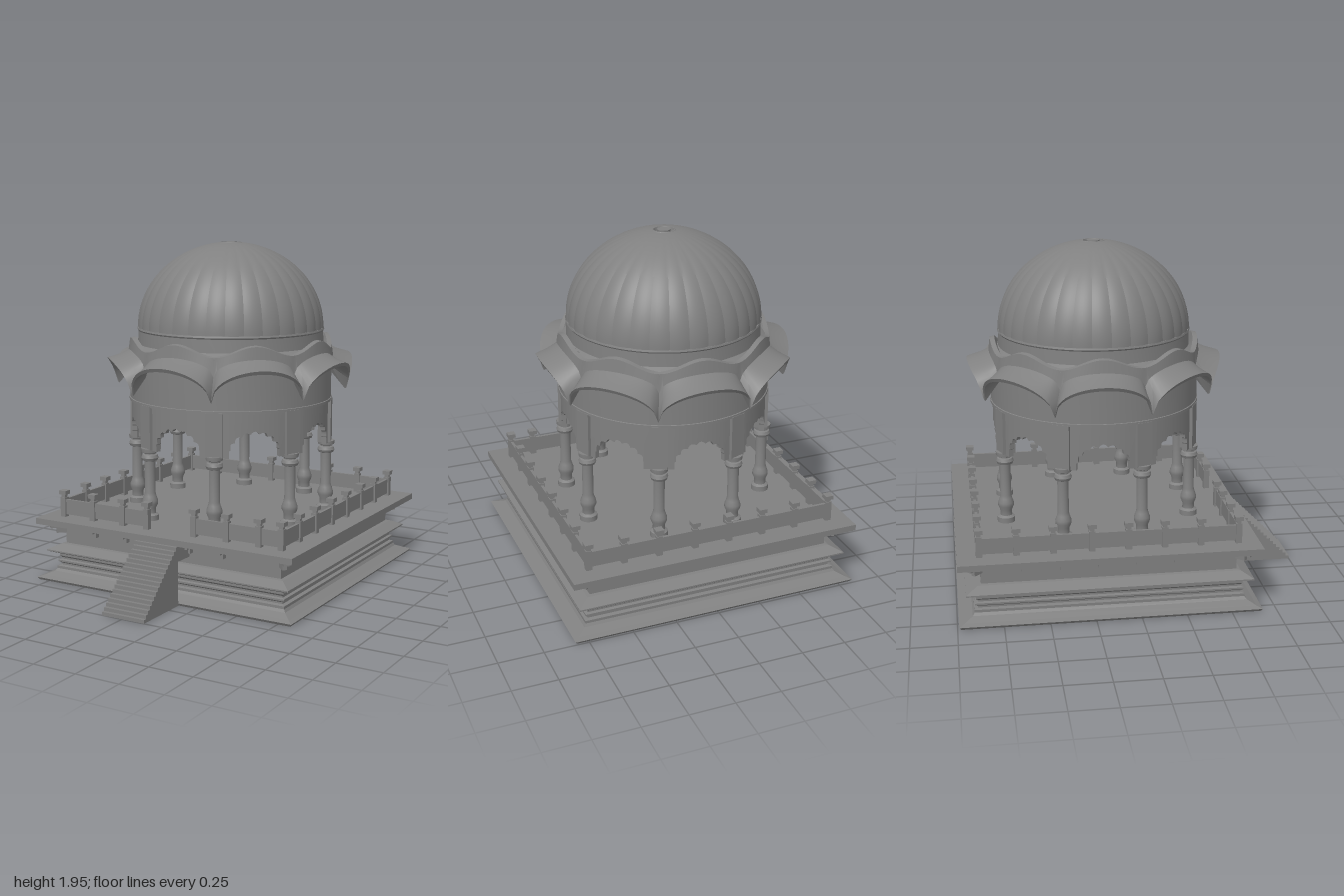
import * as THREE from 'three';
import { toCreasedNormals } from 'three/addons/utils/BufferGeometryUtils.js';

const STONE = 0x808080;
const smooth = new THREE.MeshStandardMaterial({ color: STONE, side: THREE.DoubleSide });
const flat = new THREE.MeshStandardMaterial({ color: STONE, side: THREE.DoubleSide, flatShading: true });
const CX = -0.005, CZ = -0.165, TAU = Math.PI * 2, FLOOR = 0.37;

function add(parent, name, geometry, material = smooth, x = 0, y = 0, z = 0) {
  const mesh = new THREE.Mesh(geometry, material);
  mesh.name = name;
  mesh.position.set(x, y, z);
  parent.add(mesh);
  return mesh;
}

function group(parent, name, angle = 0) {
  const g = new THREE.Group();
  g.name = name;
  g.rotation.y = angle;
  parent.add(g);
  return g;
}

// box given by its centre in x and z and its lower and upper height
function block(parent, name, w, d, y0, y1, x, z) {
  return add(parent, name, new THREE.BoxGeometry(w, y1 - y0, d), flat, x, (y0 + y1) / 2, z);
}

const vecs = (pts, k = 1) => pts.map(([r, y]) => new THREE.Vector2(r * k, y));
const turned = (pts, n) => toCreasedNormals(new THREE.LatheGeometry(vecs(pts), n), 0.6);
// square moulding: a lathe with four sides
const squareLathe = (pts) => new THREE.LatheGeometry(vecs(pts, Math.SQRT2), 4, Math.PI / 4);

// surface wrapped around the vertical axis; f(angle, v) returns [radius, height]
function wrapped(nu, nv, f) {
  const g = new THREE.PlaneGeometry(1, 1, nu, nv);
  const p = g.attributes.position;
  for (let i = 0; i < p.count; i++) {
    const a = (p.getX(i) + 0.5) * TAU;
    const [r, y] = f(a, p.getY(i) + 0.5);
    p.setXYZ(i, r * Math.sin(a), y, r * Math.cos(a));
  }
  g.computeVertexNormals();
  return g;
}

// position across one of n equal divisions of the circle, from -1 to 1
const across = (a, n) => ((a / TAU * n + 0.5) % 1) * 2 - 1;

function buildPlinth(parent) {
  const plinth = group(parent, 'plinth');
  add(plinth, 'mouldedBase', squareLathe([
    [0, 0], [0.82, 0], [0.83, 0.015], [0.8, 0.025], [0.755, 0.045], [0.745, 0.06], [0.745, 0.075],
    [0.725, 0.08], [0.725, 0.09], [0.74, 0.1], [0.74, 0.11], [0.725, 0.115], [0.725, 0.125],
    [0.735, 0.135], [0.735, 0.148], [0.788, 0.17], [0.788, 0.178], [0.725, 0.207], [0.705, 0.21],
    [0.705, 0.34], [0, 0.34]]), flat);
  block(plinth, 'floorSlab', 1.66, 1.66, 0.335, FLOOR, 0, 0);
  // small brackets beneath the slab
  for (let s = 0; s < 4; s++) {
    const side = group(plinth, 'brackets', s * Math.PI / 2);
    for (let i = -2; i <= 2; i++) {
      const x = -0.06 + i * 0.21;
      block(side, 'bracketTop', 0.016, 0.08, 0.305, 0.335, x, 0.73);
      block(side, 'bracketFoot', 0.014, 0.04, 0.275, 0.305, x, 0.715);
    }
    const corner = group(side, 'cornerBracket', Math.PI / 4);
    block(corner, 'bracketTop', 0.03, 0.1, 0.305, 0.335, 0, 1.04);
    block(corner, 'bracketFoot', 0.025, 0.06, 0.275, 0.305, 0, 1.025);
  }
}

function buildStairs(parent) {
  const n = 17, z0 = 1, z1 = 0.66, top = 0.335;
  const shape = new THREE.Shape();
  shape.moveTo(z0, 0);
  for (let i = 0; i < n; i++) {
    const z = z0 + (z1 - z0) * i / n;
    shape.lineTo(z, top * (i + 1) / n);
    shape.lineTo(z + (z1 - z0) / n, top * (i + 1) / n);
  }
  shape.lineTo(z1, 0);
  const g = new THREE.ExtrudeGeometry(shape, { depth: 0.27, bevelEnabled: false });
  g.rotateY(-Math.PI / 2);
  add(parent, 'stairs', g, flat, 0.14, 0, 0);
  block(parent, 'stairLanding', 0.27, 0.14, 0.25, 0.335, 0.005, 0.6);
}

function buildRailing(parent) {
  const railing = group(parent, 'railing');
  const even = [-0.71, -0.51, -0.31, -0.1, 0.1, 0.3, 0.5];
  const front = [-0.71, -0.505, -0.3, -0.14, 0.17, 0.375, 0.575];
  for (let s = 0; s < 4; s++) {
    const side = group(railing, 'railingSide', s * Math.PI / 2);
    const posts = s === 0 ? front : even;
    posts.forEach((x, i) => {
      block(side, 'railPost', 0.034, 0.034, FLOOR, 0.485, x, 0.71);
      block(side, 'railPostNeck', 0.024, 0.024, 0.485, 0.502, x, 0.71);
      block(side, 'railPostCap', 0.046, 0.046, 0.502, 0.525, x, 0.71);
      // the front is open at the head of the stairs
      if (s === 0 && i === 3) return;
      const next = i + 1 < posts.length ? posts[i + 1] : 0.71;
      block(side, 'railPanel', next - x, 0.016, 0.385, 0.473, (x + next) / 2, 0.71);
    });
  }
}

// panel with a scalloped arch cut from its lower edge, bent to the curve of the drum
function archGeometry() {
  const R = 0.57, half = R * Math.PI / 8, lobes = 9, steps = lobes * 6;
  const edge = [[-half, 0.78]];
  for (let i = 0; i <= steps; i++) {
    const t = i / steps, a = Math.PI * (1 - t);
    const k = 1 + 0.11 * Math.abs(Math.sin(lobes * Math.PI * t));
    const x = THREE.MathUtils.clamp(0.143 * k * Math.cos(a), -0.143, 0.143);
    edge.push([Math.max(x, edge[edge.length - 1][0]), 0.78 + 0.135 * k * Math.sin(a)]);
  }
  edge.push([0.143, 0.78], [half, 0.78]);
  const n = edge.length - 1;
  const g = new THREE.BoxGeometry(1, 1, 0.03, n, 1, 1);
  const p = g.attributes.position;
  for (let i = 0; i < p.count; i++) {
    const [x, low] = edge[Math.round((p.getX(i) + 0.5) * n)];
    const a = x / R, r = R + p.getZ(i);
    p.setXYZ(i, r * Math.sin(a), p.getY(i) > 0 ? 1.04 : low, r * Math.cos(a));
  }
  return toCreasedNormals(g, 0.4);
}

function buildColonnade(parent) {
  const column = turned([
    [0, 0.37], [0.05, 0.37], [0.05, 0.4], [0.034, 0.41], [0.034, 0.44], [0.045, 0.465], [0.045, 0.485],
    [0.036, 0.51], [0.031, 0.53], [0.031, 0.715], [0.044, 0.72], [0.05, 0.735], [0.044, 0.752],
    [0.034, 0.756], [0.034, 0.762], [0.048, 0.768], [0.05, 0.785], [0.05, 0.79], [0, 0.79]], 16);
  const arch = archGeometry();
  for (let i = 0; i < 8; i++) {
    const bay = group(parent, 'bay', i * Math.PI / 4);
    add(bay, 'scallopedArch', arch);
    const corner = group(bay, 'support', Math.PI / 8);
    add(corner, 'column', column, smooth, 0, 0, 0.57);
    block(corner, 'pilaster', 0.095, 0.075, 0.785, 1.035, 0, 0.562);
  }
}

// eight arched petals flaring out from the drum, with a wavy parapet above
function eaveSection(a, v) {
  const t = across(a, 8);
  const c = Math.sqrt(Math.max(0, 1 - t * t));
  const crest = 1.37 + 0.03 * Math.cos(a * 8);
  return [
    [0.59, 1.2 + 0.09 * c],
    [0.675 + 0.04 * c, 1.1 + 0.165 * c],
    [0.685 + 0.04 * c, 1.105 + 0.18 * c],
    [0.635 + 0.02 * c, 1.18 + 0.125 * c],
    [0.6, 1.235 + 0.095 * c],
    [0.592, crest],
    [0.565, crest + 0.005],
    [0.54, 1.33],
  ][Math.round(v * 7)];
}

function buildDrum(parent) {
  add(parent, 'drum', turned([
    [0.55, 1.34], [0.55, 1.03], [0.598, 1.03], [0.598, 1.045], [0.593, 1.047], [0.593, 1.33], [0.545, 1.36],
    [0.54, 1.45], [0.52, 1.45], [0.52, 1.34], [0.55, 1.34]], 64));
  add(parent, 'petalEave', toCreasedNormals(wrapped(8 * 24, 7, eaveSection), 0.7));
}

function buildDome(parent) {
  const gores = 32, baseY = 1.45, R = 0.545, H = 0.495;
  // each gore bulges slightly between sharp seams
  const dome = wrapped(gores * 6, 28, (a, v) => {
    const e = v * 1.46;
    const bulge = 1 - 0.012 * across(a, gores) ** 2;
    return [R * Math.cos(e) * bulge, baseY + H * Math.sin(e)];
  });
  add(parent, 'ribbedDome', toCreasedNormals(dome, 0.25));
  add(parent, 'domeRim', turned([[0.52, 1.435], [0.543, 1.435], [0.548, 1.443], [0.545, 1.453], [0.52, 1.453]], 64));
  add(parent, 'crown', turned([
    [0.068, 1.938], [0.062, 1.944], [0.056, 1.944], [0.05, 1.925], [0.036, 1.925], [0.036, 1.945], [0, 1.945]], 32));
}

export function createModel() {
  const model = new THREE.Group();
  model.name = 'domedPavilion';
  const body = group(model, 'pavilion', 0.005);
  body.position.set(0, 0, CZ);
  buildPlinth(body);
  buildRailing(body);
  const rotunda = group(body, 'rotunda', -0.035);
  rotunda.position.x = CX;
  buildColonnade(rotunda);
  buildDrum(rotunda);
  buildDome(rotunda);
  buildStairs(model);
  return model;
}
